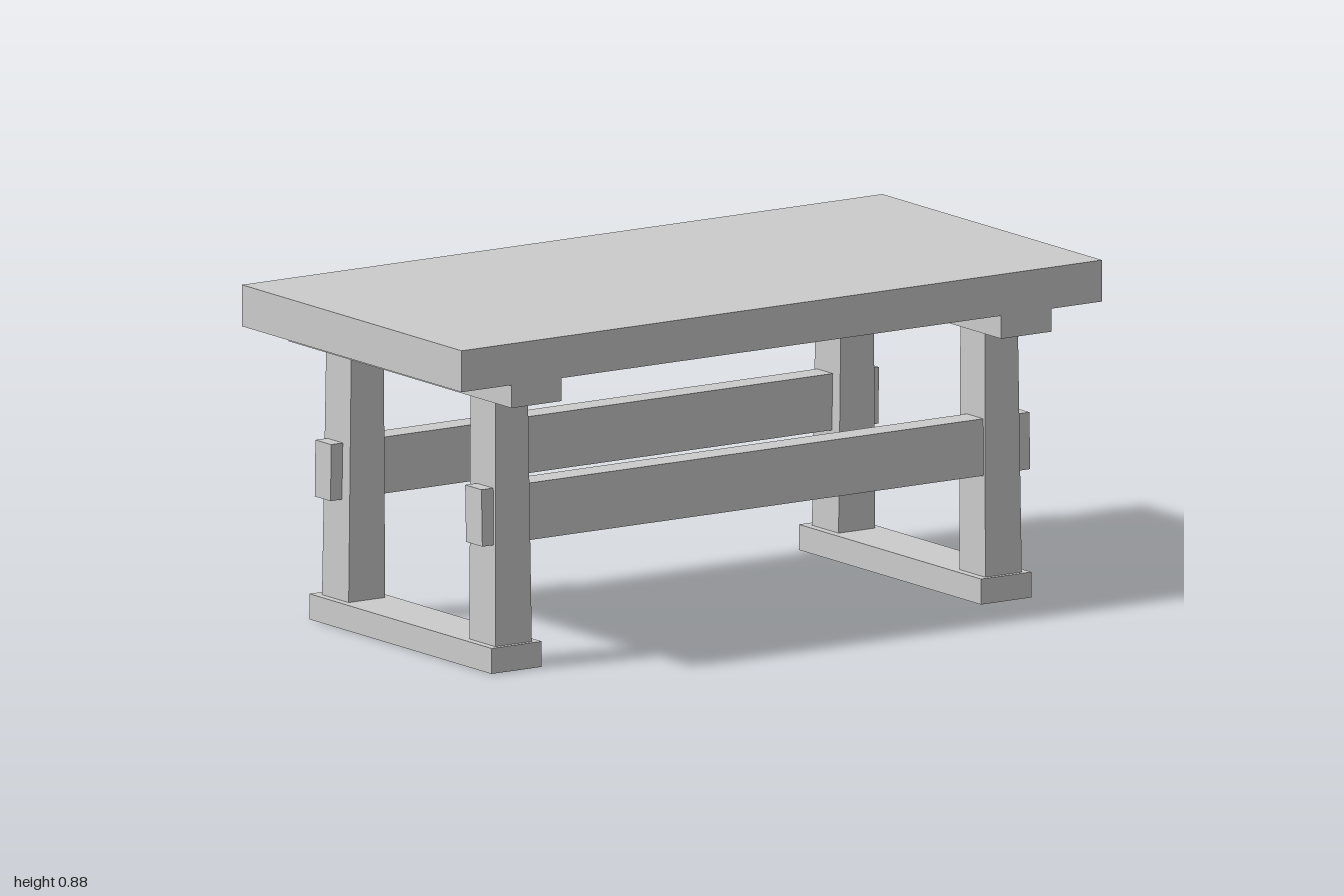
import * as THREE from 'three';

const material = new THREE.MeshStandardMaterial({ color: 0xcccccc, flatShading: true });

// A beam whose bottom and top rectangles may differ: each is [x0, x1, z0, z1].
function beam(name, y0, y1, bottom, top = bottom) {
  const geometry = new THREE.BoxGeometry(1, 1, 1);
  const p = geometry.attributes.position;
  for (let i = 0; i < p.count; i++) {
    const upper = p.getY(i) > 0;
    const r = upper ? top : bottom;
    p.setXYZ(i, p.getX(i) < 0 ? r[0] : r[1], upper ? y1 : y0, p.getZ(i) < 0 ? r[2] : r[3]);
  }
  geometry.computeVertexNormals();
  const mesh = new THREE.Mesh(geometry, material);
  mesh.name = name;
  return mesh;
}

export function createModel() {
  const table = new THREE.Group();
  table.name = 'trestleTable';

  // Thick slab
  table.add(beam('tableTop', 0.776, 0.885, [-1, 1, -0.491, 0.508]));

  // Trestle at each end: foot, two tapering legs and a bearer under the top
  for (const side of [1, -1]) {
    const trestle = new THREE.Group();
    trestle.name = side > 0 ? 'leftTrestle' : 'rightTrestle';
    const span = (inner, outer) => (side > 0 ? [inner, outer] : [-outer, -inner]);
    trestle.add(
      beam('foot', 0, 0.067, [...span(0.686, 0.843), -0.413, 0.415]),
      beam('bearer', 0.715, 0.78, [...span(0.686, 0.843), -0.507, 0.506]),
      beam('frontLeg', 0.066, 0.716,
        [...span(0.708, 0.822), 0.284, 0.402], [...span(0.714, 0.816), 0.28, 0.393]),
      beam('backLeg', 0.066, 0.716,
        [...span(0.708, 0.822), -0.386, -0.265], [...span(0.714, 0.816), -0.376, -0.262])
    );
    table.add(trestle);
  }

  // Long rails passing through the legs, leaning slightly with them
  table.add(
    beam('frontRail', 0.332, 0.481, [-0.855, 0.856, 0.317, 0.391], [-0.855, 0.856, 0.313, 0.387]),
    beam('backRail', 0.332, 0.481, [-0.855, 0.856, -0.371, -0.299], [-0.855, 0.856, -0.368, -0.297])
  );

  return table;
}
